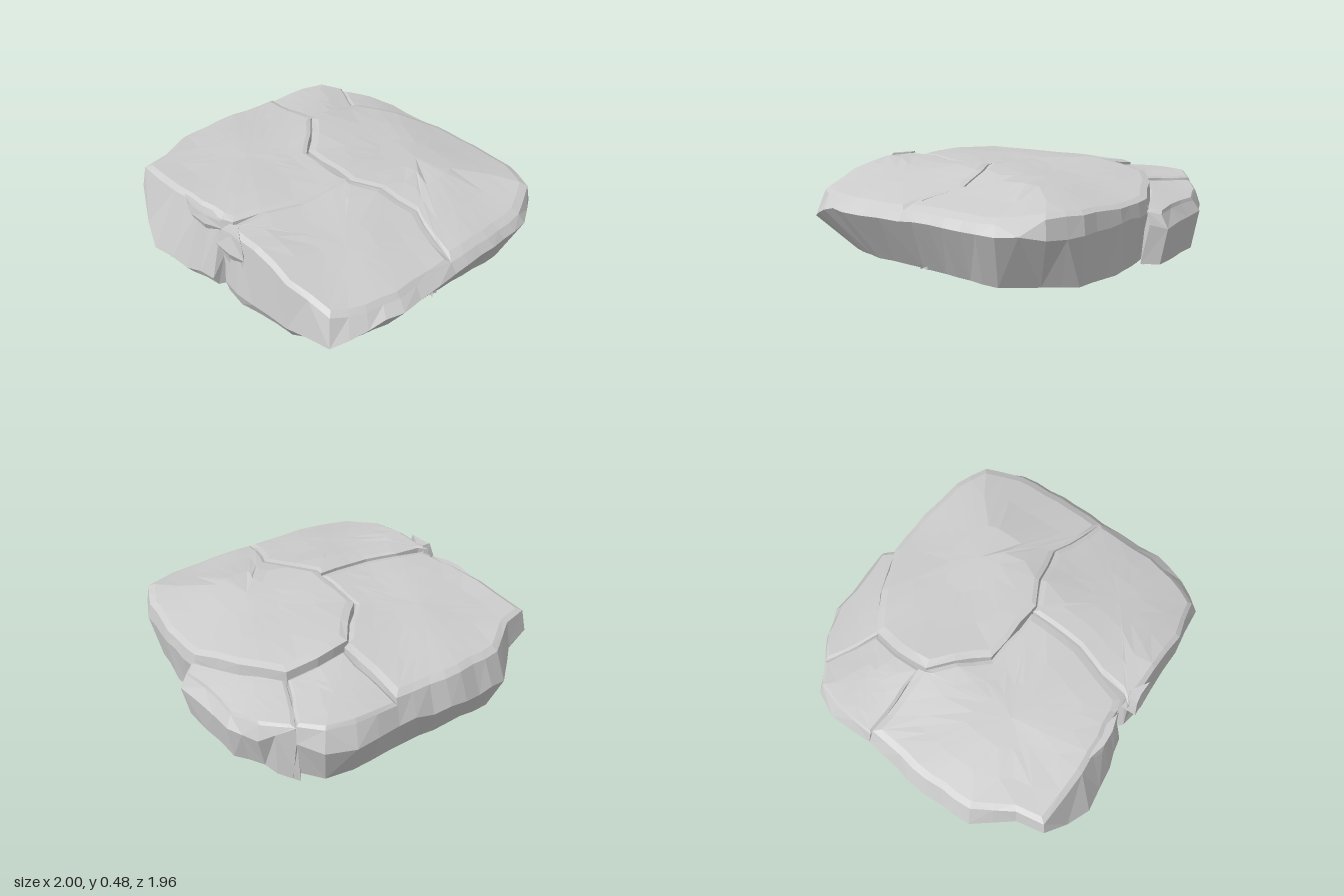
import * as THREE from 'three';

// repeatable position noise for ragged outlines
const noise = (x, z, k) => {
  const s = Math.sin(Math.round(x * 100) * 12.99 + Math.round(z * 100) * 78.23 + k * 37.7) * 43758.55;
  return (s - Math.floor(s)) * 2 - 1;
};

// height of the worn upper surface, falling off to the right, left and back, gently undulating
const surface = (x, z) =>
  0.472 - Math.max(0, 0.22 * (x - 0.35), 0.1 * (-0.35 - x), z < 0 ? 0.14 * z * z : 0) +
  0.004 * Math.sin(9 * x + 4 * z) + 0.004 * Math.cos(11 * z - 5 * x);

// outline point: [x, z, height of widest ring, inset at bottom, inset at top]; joints use a default profile
// that spreads downward, so neighbouring stones close up below the crack
const JOINT = [0.33, -0.03, 0.006];

function stone(name, material, { centre: [cx, cz], lift = 0, base = 0, joint = JOINT, points }) {
  // joints are inset toward the stone's own centre, outer faces toward the middle of the slab
  const pts = points.map((p) => (p.length > 2 ? [...p, 0, 0] : [...p, ...joint, cx, cz]));
  let area = 0;
  const outline = [];
  pts.forEach((a, i) => {
    const b = pts[(i + 1) % pts.length];
    area += a[0] * b[1] - b[0] * a[1];
    const n = Math.max(1, Math.round(Math.hypot(b[0] - a[0], b[1] - a[1]) / 0.12));
    for (let j = 0; j < n; j++) {
      const p = a.map((v, k) => v + ((b[k] - v) * j) / n);
      const [x, z] = p;
      if (j) {
        p[0] += noise(x, z, 1) * 0.007;
        p[1] += noise(x, z, 2) * 0.007;
        p[2] += noise(x, z, 3) * 0.015;
      }
      outline.push(p);
    }
  });
  if (area > 0) outline.reverse();

  const n = outline.length;
  const pos = [];
  const index = [];
  const inset = (p, d) => {
    const [x, z] = p;
    const [tx, tz] = p.slice(5);
    const s = Math.max(0.1, 1 - d / Math.hypot(x - tx, z - tz));
    return [tx + (x - tx) * s, tz + (z - tz) * s];
  };

  // rings: bottom, widest, rim, then three across the upper face
  for (const p of outline) {
    const [x, z] = inset(p, p[3]);
    pos.push(x, base, z);
  }
  for (const p of outline) pos.push(p[0], p[2], p[1]);
  for (const p of outline) {
    const [x, z] = inset(p, p[4]);
    pos.push(x, surface(x, z) + lift - 0.006 - Math.min(0.014, p[4] * 0.25), z);
  }
  for (const s of [0.93, 0.66, 0.33]) {
    for (const p of outline) {
      const [ex, ez] = inset(p, p[4]);
      const x = cx + (ex - cx) * s;
      const z = cz + (ez - cz) * s;
      pos.push(x, surface(x, z) + lift, z);
    }
  }
  pos.push(cx, base, cz, cx, surface(cx, cz) + lift, cz);
  const low = n * 6;
  for (let i = 0; i < n; i++) {
    const j = (i + 1) % n;
    for (let r = 0; r < 5; r++) {
      const [a, b, c, d] = [r * n + i, r * n + j, r * n + n + j, r * n + n + i];
      if ((i + r) % 2) index.push(a, b, c, a, c, d);
      else index.push(a, b, d, b, c, d);
    }
    index.push(low, j, i, low + 1, 5 * n + i, 5 * n + j);
  }
  const geometry = new THREE.BufferGeometry();
  geometry.setAttribute('position', new THREE.Float32BufferAttribute(pos, 3));
  geometry.setIndex(index);
  geometry.computeVertexNormals();
  const mesh = new THREE.Mesh(geometry, material);
  mesh.name = name;
  return mesh;
}

export function createModel() {
  const rock = new THREE.MeshStandardMaterial({ color: 0xcccccc, flatShading: true });
  rock.name = 'pale grey rock';

  const stones = {
    // large plate, undercut along the right and the back corner
    backRightStone: {
      centre: [0.25, -0.4],
      points: [
        [-0.48, -0.58], [-0.26, -0.74], [0, -0.88, 0.28, 0.06, 0.015], [0.3, -0.9, 0.28, 0.04, 0.015],
        [0.6, -0.88, 0.27, 0.06, 0.02], [0.8, -0.8, 0.27, 0.16, 0.02], [0.93, -0.6, 0.28, 0.13, 0.04],
        [0.965, -0.3, 0.29, 0.16, 0.04], [0.97, 0, 0.28, 0.17, 0.04], [0.8, -0.02], [0.58, -0.09],
        [0.35, -0.03], [0.2, 0.06], [-0.2, 0.05], [-0.35, -0.1], [-0.48, -0.2], [-0.5, -0.4],
      ],
    },
    // front face flares outward toward the ground
    frontLeftStone: {
      centre: [-0.4, 0.35],
      lift: -0.012,
      points: [
        [-0.97, -0.23, 0.24, 0.09, 0.05], [-0.5, -0.24], [-0.48, -0.2], [-0.35, -0.1], [-0.2, 0.05],
        [0.16, 0.06], [0.16, 0.4], [0.1, 0.6], [0.06, 0.76], [0, 0.8, 0.2, 0.01, 0.02],
        [-0.02, 0.87, 0.06, 0.03, 0.09], [-0.2, 0.93, 0.05, 0.04, 0.12], [-0.47, 0.98, 0.05, 0.05, 0.16],
        [-0.62, 0.93, 0.12, 0.09, 0.11], [-0.76, 0.86, 0.28, 0.15, 0.03], [-0.8, 0.7, 0.25, 0.08, 0.03],
        [-0.97, 0.5, 0.2, 0.08, 0.06], [-1, 0.2, 0.22, 0.11, 0.06],
      ],
    },
    // front right block with a diagonally undercut corner
    frontRightStone: {
      centre: [0.55, 0.4],
      points: [
        [0.16, 0.06], [0.2, 0.06], [0.35, -0.03], [0.58, -0.09], [0.8, -0.02], [0.97, 0, 0.28, 0.17, 0.04],
        [1, 0.4, 0.28, 0.2, 0.06], [0.96, 0.6, 0.26, 0.21, 0.06], [0.88, 0.78, 0.19, 0.21, 0.06],
        [0.6, 0.83, 0.14, 0.09, 0.03], [0.2, 0.86, 0.1, 0.03, 0.05], [0.06, 0.84, 0.08, 0.02, 0.03],
        [0.09, 0.76], [0.1, 0.6], [0.16, 0.4],
      ],
    },
    // lower stone behind the plate
    backLeftStone: {
      centre: [-0.35, -0.8],
      lift: -0.06,
      points: [
        [-0.78, -0.72], [-0.65, -0.86, 0.22, 0.07, 0.03], [-0.48, -0.94, 0.22, 0.04, 0.04],
        [-0.2, -0.96, 0.21, 0.03, 0.05], [-0.03, -0.98, 0.2, 0.04, 0.04], [0.02, -0.9, 0.22, 0.05, 0.02],
        [0, -0.87], [-0.26, -0.74], [-0.47, -0.58], [-0.6, -0.63],
      ],
    },
    leftStone: {
      centre: [-0.72, -0.45],
      lift: -0.045,
      points: [
        [-0.97, -0.23, 0.24, 0.09, 0.03], [-0.99, -0.5, 0.24, 0.11, 0.06], [-0.93, -0.65, 0.24, 0.08, 0.04],
        [-0.8, -0.73, 0.25, 0.06, 0.02], [-0.77, -0.71], [-0.6, -0.63], [-0.48, -0.58], [-0.5, -0.4], [-0.49, -0.23],
      ],
    },
    // loose chips along the front edge
    frontChip: {
      centre: [0.13, 0.8], base: 0.24, lift: 0.008, joint: [0.37, 0.06, 0.03],
      points: [[0.05, 0.78], [0.13, 0.74], [0.27, 0.84], [0.06, 0.87]],
    },
    frontLedge: {
      centre: [-0.15, 0.8], base: 0.33, lift: -0.025, joint: [0.39, 0.03, 0.015],
      points: [[-0.35, 0.82], [-0.18, 0.76], [0.01, 0.79], [-0.1, 0.84], [-0.22, 0.85]],
    },
  };

  const model = new THREE.Group();
  model.name = 'crackedRockSlab';
  for (const [name, spec] of Object.entries(stones)) model.add(stone(name, rock, spec));
  return model;
}
